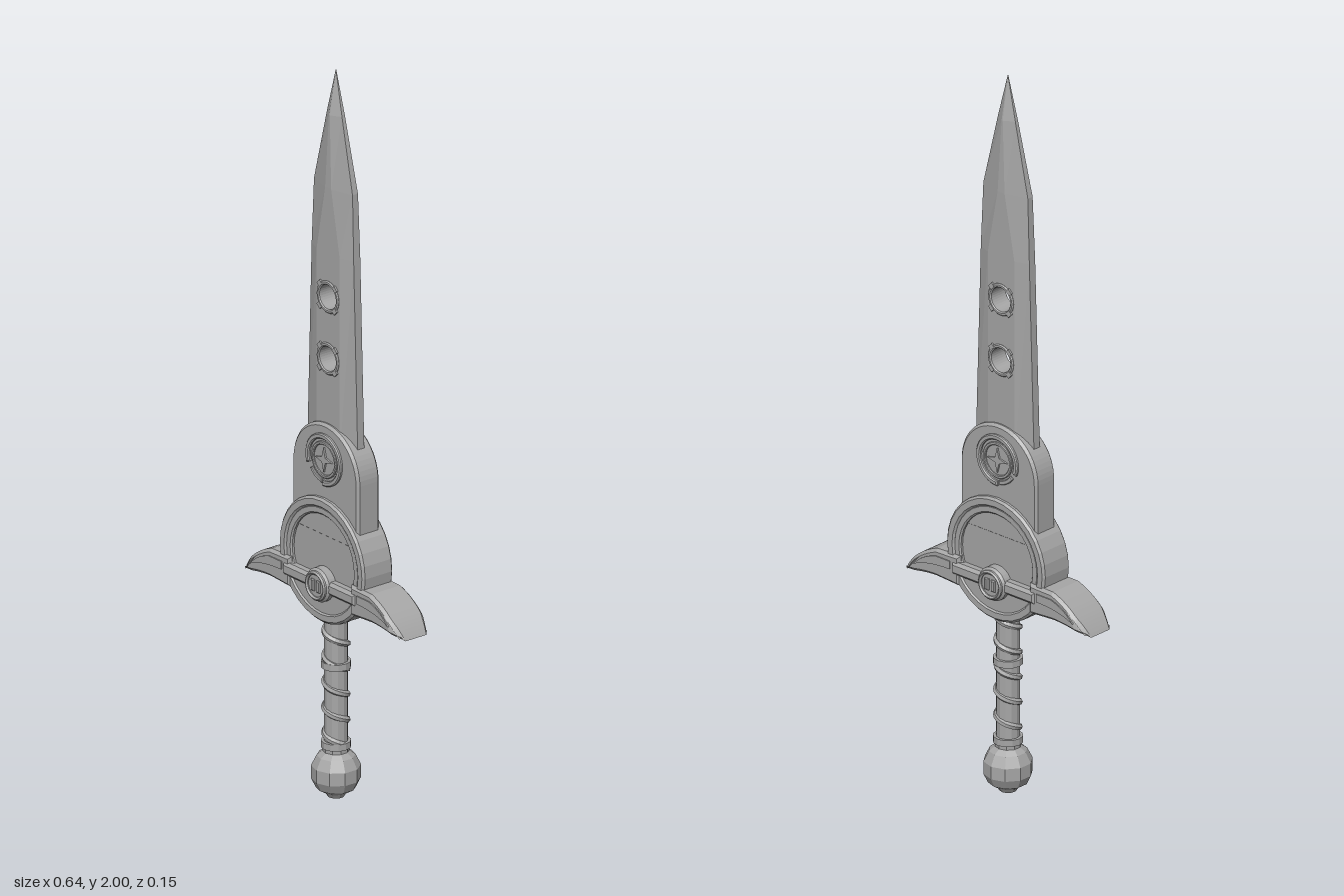
import * as THREE from 'three';

const metal = new THREE.MeshStandardMaterial({ color: 0xa6a6a6, flatShading: true });
metal.name = 'grey metal';

export function createModel() {
  const root = new THREE.Group();
  root.name = 'sword';

  const add = (name, geometry, x = 0, y = 0, z = 0) => {
    const mesh = new THREE.Mesh(geometry, metal);
    mesh.name = name;
    mesh.position.set(x, y, z);
    root.add(mesh);
    return mesh;
  };

  // Extrusion centred on z, with a chamfer kept inside the outline
  const slab = (shape, half, bevel = 0) => {
    const g = new THREE.ExtrudeGeometry(shape, {
      depth: 2 * (half - bevel), bevelEnabled: bevel > 0, bevelThickness: bevel,
      bevelSize: bevel, bevelOffset: -bevel, bevelSegments: 1, curveSegments: 16,
    });
    return g.translate(0, 0, bevel - half);
  };

  const polygon = (pts) => new THREE.Shape(pts.map(([x, y]) => new THREE.Vector2(x, y)));
  const disc = (r) => new THREE.Shape().absarc(0, 0, r, 0, Math.PI * 2);
  const hole = (x, y, r) => new THREE.Path().absarc(x, y, r, 0, Math.PI * 2, true);
  const ring = (outer, inner) => {
    const s = disc(outer);
    s.holes.push(hole(0, 0, inner));
    return s;
  };
  const arcBand = (outer, inner, a, b) => {
    const s = new THREE.Shape();
    s.absarc(0, 0, outer, a, b, false);
    s.absarc(0, 0, inner, b, a, true);
    return s;
  };

  // Skin over closed rings of [x, z] stacked at heights
  const loft = (sections) => {
    const n = sections[0].ring.length, pos = [], idx = [];
    sections.forEach((s) => s.ring.forEach(([x, z]) => pos.push(x, s.y, z)));
    for (let i = 0; i < sections.length - 1; i++) {
      for (let j = 0; j < n; j++) {
        const a = i * n + j, b = i * n + (j + 1) % n;
        idx.push(a, a + n, b, b, a + n, b + n);
      }
    }
    const g = new THREE.BufferGeometry();
    g.setAttribute('position', new THREE.Float32BufferAttribute(pos, 3));
    g.setIndex(idx);
    g.computeVertexNormals();
    return g;
  };

  // Lower blade: pierced flat core and a bevelled edge on either side
  const flat = 0.046, thick = 0.026, edge = 0.011, holes = [1.38, 1.21];
  const core = polygon([[-flat, 0.95], [flat, 0.95], [flat, 1.5], [-flat, 1.5]]);
  holes.forEach((y) => core.holes.push(hole(0, y, 0.036)));
  add('bladeCore', slab(core, thick));
  const edgeRing = (w) => [[w, edge], [flat, thick], [flat, -thick], [w, -edge]];
  for (const turn of [0, Math.PI]) {
    add('bladeEdge', loft([
      { y: 0.95, ring: edgeRing(0.101) }, { y: 1.5, ring: edgeRing(0.084) },
    ])).rotation.y = turn;
  }

  // Upper blade: flat faces narrow to a ridge, then to the point
  const bladeRing = (w, e, f, t) =>
    [[w, e], [f, t], [-f, t], [-w, e], [-w, -e], [-f, -t], [f, -t], [w, -e]];
  add('bladeTip', loft([
    { y: 1.5, ring: bladeRing(0.084, edge, flat, thick) },
    { y: 1.68, ring: bladeRing(0.077, 0.009, 0.012, thick) },
    { y: 1.88, ring: bladeRing(0.03, 0.005, 0.002, 0.022) },
    { y: 2.0, ring: bladeRing(0.0005, 0.0005, 0.0003, 0.0005) },
  ]));

  // Collars lining the two holes, each with four small lugs
  holes.forEach((y) => {
    add('holeCollar', slab(ring(0.044, 0.033), 0.03, 0.003), 0, y);
    for (let i = 0; i < 4; i++) {
      const a = Math.PI / 4 + i * Math.PI / 2;
      add('holeLug', new THREE.BoxGeometry(0.012, 0.016, 0.062),
        0.043 * Math.cos(a), y + 0.043 * Math.sin(a)).rotation.z = a;
    }
  });

  // Arched socket that holds the blade
  const arch = new THREE.Shape();
  arch.moveTo(-0.132, 0.72);
  arch.lineTo(0.132, 0.72);
  arch.absarc(0, 0.9, 0.132, 0, Math.PI, false);
  add('bladeSocket', slab(arch, 0.037, 0.007));

  // Round ornament on both faces of the socket
  const emblemY = 0.935;
  add('ornamentOuterArc', slab(arcBand(0.071, 0.057, -1.6, 3.5), 0.045, 0.003), 0, emblemY);
  add('ornamentLowerArc', slab(arcBand(0.066, 0.054, 3.75, 4.6), 0.042, 0.002), 0, emblemY);
  add('ornamentInnerRing', slab(ring(0.05, 0.041), 0.042, 0.002), 0, emblemY);
  const star = [];
  for (let i = 0; i < 8; i++) {
    const a = i * Math.PI / 4, r = i % 2 ? 0.01 : 0.034;
    star.push([r * Math.cos(a), r * Math.sin(a)]);
  }
  add('ornamentStar', slab(polygon(star), 0.042), 0, emblemY);

  // Round guard: raised rim around a sunken plate
  const guardY = 0.66;
  add('guardRim', slab(ring(0.17, 0.142), 0.05, 0.006), 0, guardY);
  add('guardInnerRim', slab(ring(0.146, 0.124), 0.046, 0.004), 0, guardY);
  add('guardPlate', slab(disc(0.13), 0.036), 0, guardY);
  add('guardFoot', slab(polygon([[-0.09, 0.53], [-0.05, 0.5], [0.05, 0.5], [0.09, 0.53],
    [0.13, 0.58], [-0.13, 0.58]]), 0.046, 0.006));

  // Crossbar with end blocks and a central boss
  add('crossbar', slab(polygon([[-0.145, 0.578], [0.145, 0.578], [0.145, 0.614],
    [-0.145, 0.614]]), 0.06, 0.008));
  const bossY = 0.595;
  add('boss', slab(disc(0.046), 0.066, 0.008), 0, bossY);
  add('bossRing', slab(ring(0.04, 0.03), 0.073, 0.004), 0, bossY);
  for (const x of [-0.011, 0.011]) {
    add('bossStud', slab(polygon([[-0.007, -0.016], [0.007, -0.016], [0.007, 0.016],
      [-0.007, 0.016]]), 0.071, 0.003), x, bossY);
  }

  // Swept quillons, thinner towards the ends
  const wing = new THREE.Shape();
  wing.moveTo(0.12, 0.632);
  wing.lineTo(0.2, 0.63);
  wing.quadraticCurveTo(0.275, 0.605, 0.32, 0.535);
  wing.quadraticCurveTo(0.25, 0.553, 0.2, 0.553);
  wing.lineTo(0.12, 0.548);
  for (const turn of [0, Math.PI]) {
    const g = slab(wing, 0.055, 0.008);
    const p = g.attributes.position;
    for (let i = 0; i < p.count; i++) {
      const t = Math.max(0, (p.getX(i) - 0.28) / 0.04);
      p.setZ(i, p.getZ(i) * (1 - 0.27 * t));
    }
    add('quillon', g).rotation.y = turn;
    const ridge = new THREE.Shape();
    ridge.moveTo(0.15, 0.612);
    ridge.lineTo(0.2, 0.612);
    ridge.quadraticCurveTo(0.25, 0.598, 0.276, 0.566);
    ridge.quadraticCurveTo(0.23, 0.59, 0.15, 0.59);
    add('quillonRidge', slab(ridge, 0.058)).rotation.y = turn;
  }

  // Grip with a spiral wrap and bands
  add('grip', new THREE.CylinderGeometry(0.031, 0.031, 0.4, 12), 0, 0.32);
  const turns = 5, spiral = [];
  for (let i = 0; i <= turns * 12; i++) {
    const a = i * Math.PI / 6;
    spiral.push(new THREE.Vector3(0.029 * Math.cos(a), 0.15 + 0.35 * i / (turns * 12),
      0.029 * Math.sin(a)));
  }
  add('gripWrap', new THREE.TubeGeometry(new THREE.CatmullRomCurve3(spiral), 120, 0.009, 6));
  for (const y of [0.145, 0.365, 0.495]) {
    add('gripBand', new THREE.CylinderGeometry(0.039, 0.039, 0.018, 12), 0, y);
  }

  // Faceted pommel
  const profile = [[0, 0], [0.022, 0], [0.03, 0.012], [0.052, 0.025], [0.064, 0.05],
    [0.064, 0.085], [0.05, 0.113], [0.034, 0.125], [0.034, 0.14], [0, 0.14]];
  add('pommel', new THREE.LatheGeometry(profile.map(([x, y]) => new THREE.Vector2(x, y)), 10));

  return root;
}
